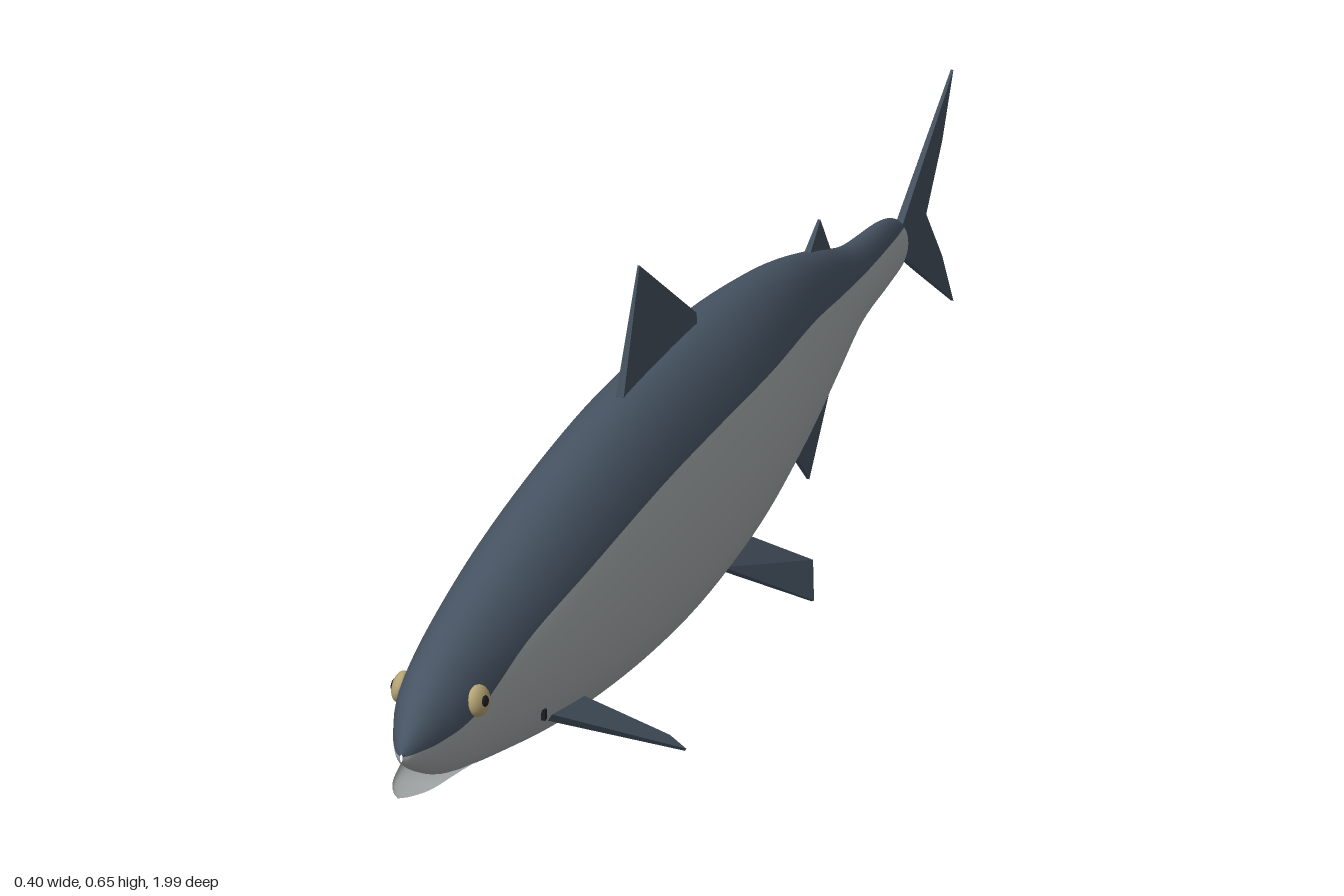
import * as THREE from 'three';

const mat = (name, color, side = THREE.FrontSide) => {
  const m = new THREE.MeshStandardMaterial({ color, side });
  m.name = name;
  return m;
};

// Lofts oval sections along z. Station: [z, top, bottom, halfWidth, colourLine]
function loft(stations, steps, nBack, nBelly) {
  const spline = (a, b) => new THREE.CatmullRomCurve3(
    stations.map(s => new THREE.Vector3(s[0], s[a], s[b])), false, 'catmullrom', 0.5);
  const heights = spline(1, 2), widths = spline(3, 4);
  const n = nBack + nBelly, pos = [], back = [], belly = [];
  for (let i = 0; i <= steps; i++) {
    const h = heights.getPoint(i / steps), w = widths.getPoint(i / steps);
    const cy = (h.y + h.z) / 2, ry = Math.max((h.y - h.z) / 2, 0.0005);
    const rx = Math.max(w.y, 0.0005);
    const split = Math.asin(THREE.MathUtils.clamp((w.z - cy) / ry, -0.97, 0.97));
    for (let j = 0; j < n; j++) {
      const t = j < nBack
        ? split + (Math.PI - 2 * split) * j / nBack
        : Math.PI - split + (Math.PI + 2 * split) * (j - nBack) / nBelly;
      pos.push(rx * Math.cos(t), cy + ry * Math.sin(t), h.x);
    }
  }
  for (let i = 0; i < steps; i++) for (let j = 0; j < n; j++) {
    const a = i * n + j, b = i * n + (j + 1) % n, c = a + n, d = b + n;
    (j < nBack ? back : belly).push(a, c, b, b, c, d);
  }
  const g = new THREE.BufferGeometry();
  g.setAttribute('position', new THREE.Float32BufferAttribute(pos, 3));
  g.setIndex([...back, ...belly]);
  g.addGroup(0, back.length, 0);
  g.addGroup(back.length, belly.length, 1);
  g.computeVertexNormals();
  return g;
}

// Thin fin from an outline of [x, y, z, halfThickness], fanned from its first point
function finGeometry(outline) {
  const p = outline.map(o => new THREE.Vector3(o[0], o[1], o[2])), n = p.length;
  const normal = p[1].clone().sub(p[0]).cross(p[n - 1].clone().sub(p[0])).normalize();
  const up = p.map((v, i) => v.clone().addScaledVector(normal, outline[i][3]));
  const dn = p.map((v, i) => v.clone().addScaledVector(normal, -outline[i][3]));
  const tris = [];
  for (let i = 1; i < n - 1; i++) tris.push(up[0], up[i], up[i + 1], dn[0], dn[i + 1], dn[i]);
  for (let i = 0; i < n; i++) {
    const k = (i + 1) % n;
    tris.push(dn[i], dn[k], up[k], dn[i], up[k], up[i]);
  }
  const g = new THREE.BufferGeometry().setFromPoints(tris);
  g.computeVertexNormals();
  return g;
}

export function createModel() {
  const fish = new THREE.Group();
  fish.name = 'fish';
  const backMat = mat('slate back', 0x465362);
  const bellyMat = mat('silver belly', 0xa3a8a9);
  const finMat = mat('slate fin', 0x434f5d, THREE.DoubleSide);
  const eyeMat = mat('gold eye', 0xb5a373);
  const darkMat = mat('dark pupil', 0x1c1f22);

  const add = (name, geometry, material, parent = fish) => {
    const m = new THREE.Mesh(geometry, material);
    m.name = name;
    parent.add(m);
    return m;
  };

  // Body with a dark back and pale belly
  add('body', loft([
    [0.98, 0.268, 0.256, 0.002, 0.264],
    [0.965, 0.289, 0.243, 0.016, 0.266],
    [0.92, 0.328, 0.214, 0.038, 0.27],
    [0.85, 0.365, 0.182, 0.06, 0.285],
    [0.7, 0.404, 0.143, 0.082, 0.333],
    [0.5, 0.443, 0.1, 0.099, 0.36],
    [0.25, 0.472, 0.068, 0.107, 0.38],
    [0.05, 0.476, 0.063, 0.107, 0.382],
    [-0.15, 0.467, 0.085, 0.1, 0.376],
    [-0.35, 0.437, 0.124, 0.074, 0.359],
    [-0.5, 0.393, 0.168, 0.05, 0.331],
    [-0.62, 0.347, 0.213, 0.034, 0.311],
    [-0.74, 0.33, 0.226, 0.024, 0.304],
    [-0.79, 0.314, 0.234, 0.02, 0.301],
    [-0.812, 0.292, 0.25, 0.012, 0.288],
    [-0.818, 0.274, 0.268, 0.001, 0.273],
  ], 90, 20, 28), [backMat, bellyMat]);

  // Slightly open lower jaw
  add('lowerJaw', loft([
    [0.8, 0.24, 0.172, 0.05, 0.2],
    [0.88, 0.222, 0.188, 0.041, 0.2],
    [0.94, 0.211, 0.196, 0.03, 0.2],
    [0.975, 0.208, 0.201, 0.014, 0.204],
    [0.992, 0.207, 0.205, 0.001, 0.206],
  ], 20, 12, 12), [bellyMat, bellyMat]);

  // Fins on the centre line, outlines as [y, z, halfThickness]
  const middleFins = {
    dorsalFin: [[0.45, 0.19, 0.006], [0.475, 0.195, 0.006], [0.65, 0.127, 0.0015], [0.488, -0.072, 0.004], [0.44, -0.072, 0.006]],
    adiposeFin: [[0.36, -0.45, 0.005], [0.395, -0.475, 0.005], [0.432, -0.522, 0.002], [0.373, -0.555, 0.003], [0.34, -0.54, 0.005]],
    analFin: [[0.19, -0.43, 0.006], [0.14, -0.4, 0.006], [0.045, -0.482, 0.002], [0.155, -0.555, 0.003], [0.22, -0.53, 0.005]],
    upperTailFin: [[0.272, -0.78, 0.006], [0.345, -0.87, 0.004], [0.452, -1, 0.002], [0.36, -0.957, 0.003], [0.272, -0.9, 0.003]],
    lowerTailFin: [[0.272, -0.78, 0.006], [0.197, -0.87, 0.004], [0.092, -1, 0.002], [0.182, -0.957, 0.003], [0.272, -0.9, 0.003]],
  };
  for (const [name, pts] of Object.entries(middleFins))
    add(name, finGeometry(pts.map(([y, z, t]) => [0, y, z, t])), finMat);

  // Paired parts
  for (const [label, s] of [['left', 1], ['right', -1]]) {
    const side = (pts) => finGeometry(pts.map(([x, y, z, t]) => [s * x, y, z, t]));
    add(label + 'PectoralFin', side([
      [0.065, 0.174, 0.61, 0.006], [0.2, 0.068, 0.43, 0.002],
      [0.175, 0.085, 0.43, 0.002], [0.07, 0.156, 0.5, 0.005],
    ]), finMat);
    add(label + 'PelvicFin', side([
      [0.05, 0.108, -0.05, 0.005], [0.127, 0.005, -0.2, 0.002],
      [0.115, 0.055, -0.225, 0.002], [0.05, 0.118, -0.14, 0.005],
    ]), finMat);

    // Bulging eye with pupil
    const eye = new THREE.Group();
    eye.name = label + 'Eye';
    eye.position.set(s * 0.059, 0.302, 0.842);
    eye.rotation.set(0, -s * 0.2, s * 0.2);
    fish.add(eye);
    add('eyeball', new THREE.SphereGeometry(1, 24, 16), eyeMat, eye).scale.set(0.013, 0.023, 0.023);
    const pupil = add('pupil', new THREE.SphereGeometry(1, 16, 12), darkMat, eye);
    pupil.scale.set(0.004, 0.009, 0.009);
    pupil.position.x = s * 0.0105;

    // Small gill mark
    const gill = add(label + 'GillMark', new THREE.BoxGeometry(0.006, 0.016, 0.007), darkMat);
    gill.position.set(s * 0.0775, 0.198, 0.65);
  }
  return fish;
}
